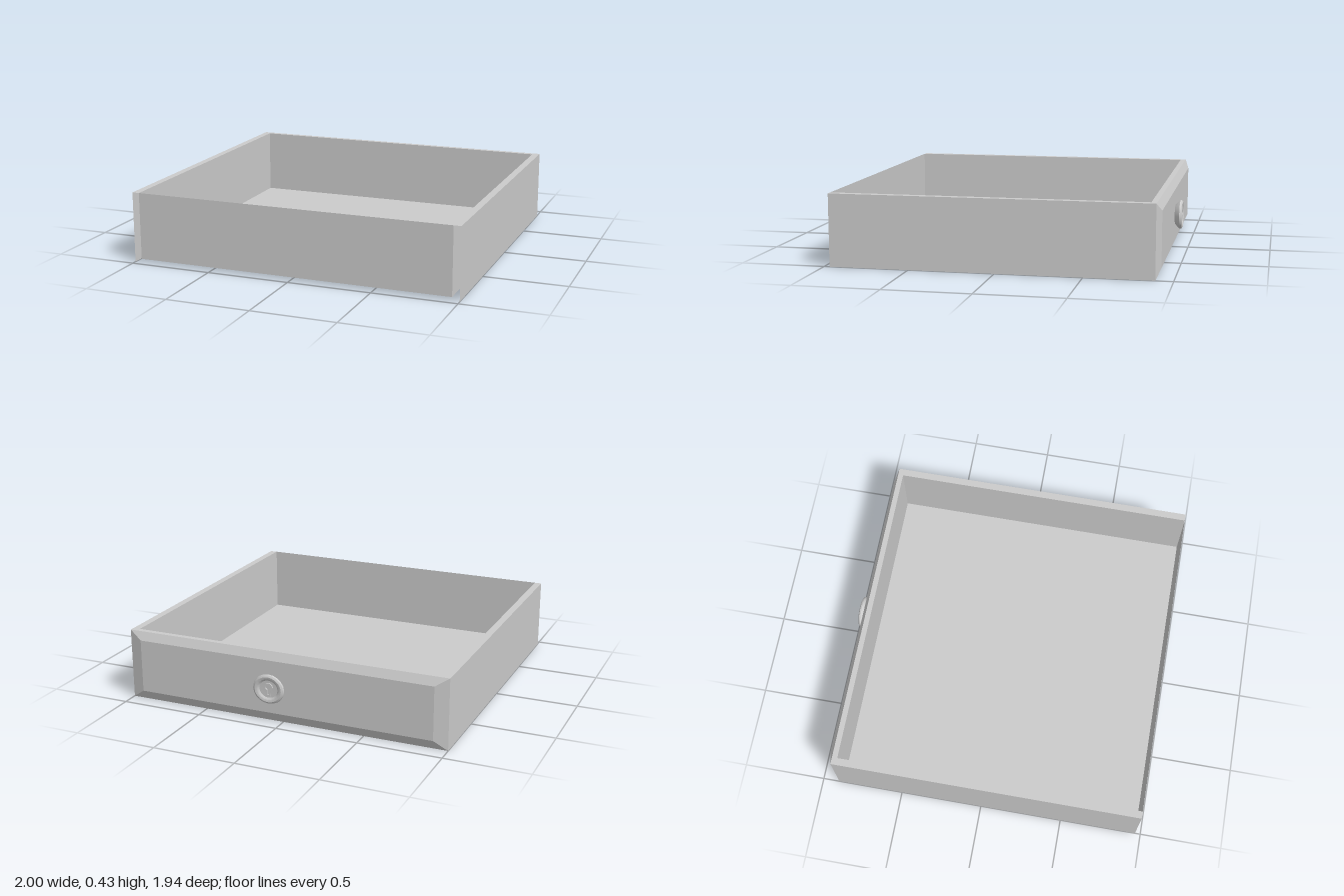
import * as THREE from 'three';
import { toCreasedNormals } from 'three/addons/utils/BufferGeometryUtils.js';

const material = new THREE.MeshStandardMaterial({ color: 0xcccccc, side: THREE.DoubleSide });

// Drawer dimensions
const X = 1, XI = 0.957;            // outer and inner half width
const H = 0.425, FLOOR = 0.022;     // rim height and floor height
const ZF = 0.967, ZB = -0.9, ZI = -0.868; // open end, faceplate edge, inner wall

// Sheets made of four-cornered faces
function sheet(name, quads) {
  const pos = [];
  for (const [a, b, c, d] of quads) pos.push(...a, ...b, ...c, ...a, ...c, ...d);
  const g = new THREE.BufferGeometry();
  g.setAttribute('position', new THREE.Float32BufferAttribute(pos, 3));
  g.computeVertexNormals();
  const mesh = new THREE.Mesh(g, material);
  mesh.name = name;
  return mesh;
}

// Rectangular loop facing -z
const loop = (x, y0, y1, z) => [[x, y0, z], [-x, y0, z], [-x, y1, z], [x, y1, z]];

export function createModel() {
  const root = new THREE.Group();
  root.name = 'drawer';

  // Floor and the thin panel at the +z end
  root.add(sheet('floor', [[[-XI, FLOOR, ZF], [XI, FLOOR, ZF], [XI, FLOOR, ZI], [-XI, FLOOR, ZI]]]));
  root.add(sheet('endPanel', [[[-XI, FLOOR, ZF], [XI, FLOOR, ZF], [XI, H, ZF], [-XI, H, ZF]]]));

  // Hollow side walls: outer sheet, rim and inner sheet
  for (const s of [1, -1]) {
    const quads = [
      [[s * X, 0, ZF], [s * X, 0, ZB], [s * X, H, ZB], [s * X, H, ZF]],
      [[s * X, H, ZF], [s * X, H, ZB], [s * XI, H, ZI], [s * XI, H, ZF]],
      [[s * XI, H, ZF], [s * XI, H, ZI], [s * XI, FLOOR, ZI], [s * XI, FLOOR, ZF]],
    ];
    if (s < 0) quads.forEach(q => q.reverse());
    root.add(sheet(s > 0 ? 'leftWall' : 'rightWall', quads));
  }

  // Inner wall and rim behind the faceplate
  root.add(sheet('innerWall', [
    [[-XI, FLOOR, ZI], [XI, FLOOR, ZI], [XI, H, ZI], [-XI, H, ZI]],
    [[-XI, H, ZI], [XI, H, ZI], [X, H, ZB], [-X, H, ZB]],
  ]));

  // Faceplate with bevelled border
  const outer = loop(X, 0, H, ZB), inner = loop(0.92, 0.055, 0.375, -0.925);
  const faces = [inner];
  for (let i = 0; i < 4; i++) {
    const j = (i + 1) % 4;
    faces.push([outer[i], outer[j], inner[j], inner[i]]);
  }
  root.add(sheet('faceplate', faces));

  // Dished knob
  const knob = new THREE.Group();
  knob.name = 'knob';
  knob.position.set(0.062, 0.215, -0.925);
  knob.scale.x = 1.1;
  const profile = [[0.06, 0], [0.084, 0.022], [0.089, 0.03], [0.086, 0.039], [0.076, 0.045],
    [0.062, 0.043], [0.052, 0.034], [0, 0.032]].map(p => new THREE.Vector2(...p));
  const dish = new THREE.LatheGeometry(profile, 20).rotateX(-Math.PI / 2);
  const dishMesh = new THREE.Mesh(toCreasedNormals(dish, 0.6), material);
  dishMesh.name = 'knobDish';
  knob.add(dishMesh);

  // Raised keyhole border: round top, narrow slot below
  const keyhole = (P, r, w, bottom) => {
    const p = new P(), a = Math.asin(w / r);
    p.moveTo(-w, bottom);
    p.lineTo(w, bottom);
    p.absarc(0, 0.012, r, -Math.PI / 2 + a, 1.5 * Math.PI - a, false);
    p.closePath();
    return p;
  };
  const border = keyhole(THREE.Shape, 0.026, 0.015, -0.04);
  border.holes.push(keyhole(THREE.Path, 0.015, 0.006, -0.032));
  const key = new THREE.ExtrudeGeometry(border, { depth: 0.01, bevelEnabled: false, curveSegments: 10 });
  key.rotateY(Math.PI).translate(0, 0, -0.031);
  const keyMesh = new THREE.Mesh(toCreasedNormals(key, 0.7), material);
  keyMesh.name = 'keyholeBorder';
  knob.add(keyMesh);
  root.add(knob);

  return root;
}
